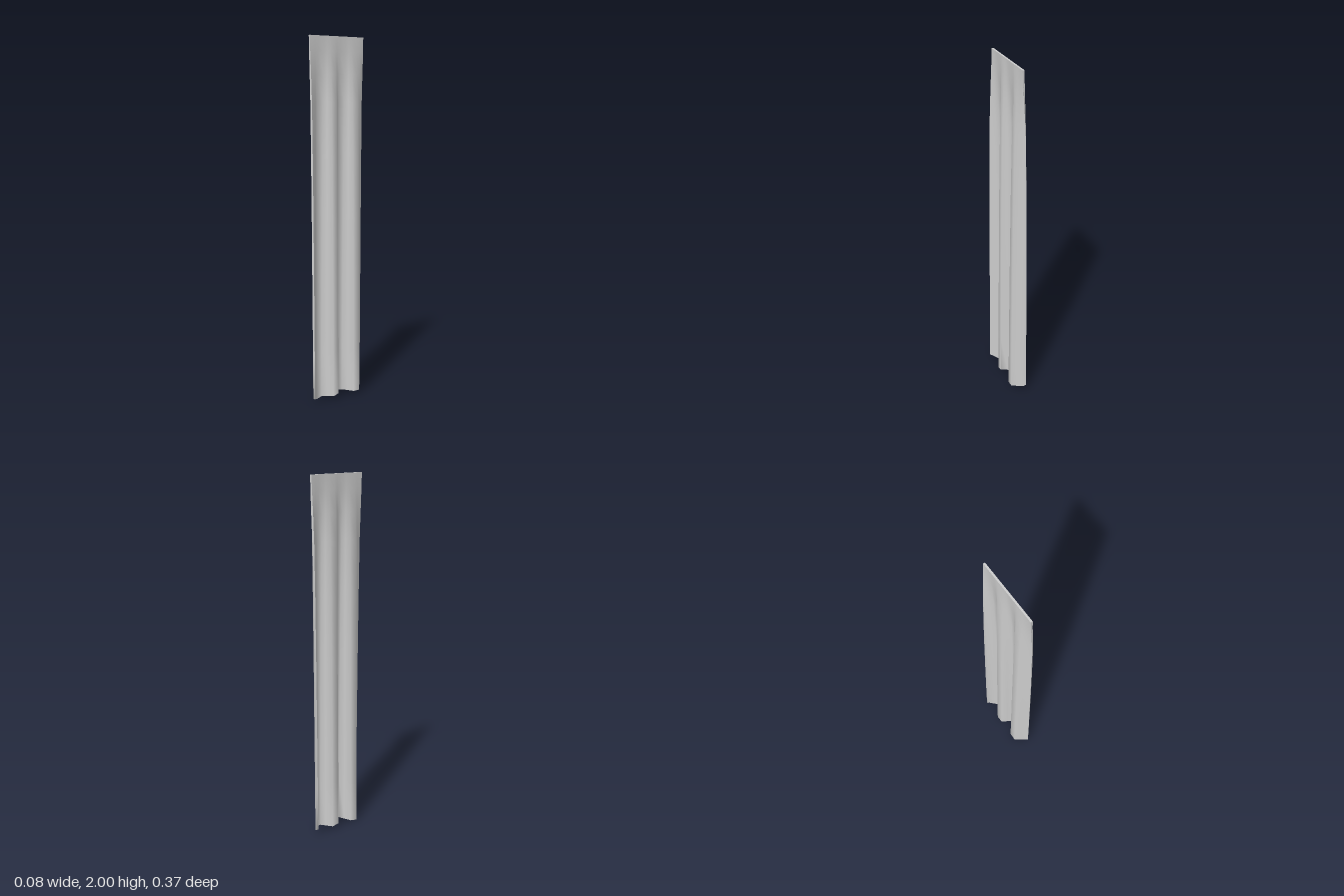
import * as THREE from 'three';
import { toCreasedNormals } from 'three/addons/utils/BufferGeometryUtils.js';

const HALF = 0.005; // half the cloth thickness

// Pleat line at the hem: [z, x, height of the hem]
const HEM = [
  [-0.179, -0.036, 0.04], [-0.174, -0.02, 0.03], [-0.15, 0.004, 0.022], [-0.128, 0.033, 0.02], [-0.097, 0.033, 0.02],
  [-0.08, 0.003, 0.02], [-0.059, -0.03, 0.02], [-0.02, -0.03, 0.025], [0, 0, 0.03],
  [0.018, 0.033, 0.03], [0.046, 0.033, 0.02], [0.065, 0.003, 0.015], [0.084, -0.03, 0.01],
  [0.124, -0.03, 0], [0.145, -0.003, 0.012], [0.179, 0.034, 0.03],
];

// Depth of the pleats by height: [height, share of hem depth]
const LEVELS = [[0, 1], [0.25, 0.95], [0.6, 0.86], [1, 0.75], [1.35, 0.62], [1.65, 0.46], [1.8, 0.26], [1.92, 0.08], [2, 0]];

// Closed outline of the cloth at one height
function section([h, depth]) {
  const line = HEM.map(([z, x, lift]) =>
    new THREE.Vector2(0.001 + x * depth, THREE.MathUtils.lerp(z * 0.99, z, depth)));
  const dir = (a, b) => line[b].clone().sub(line[a]).normalize();
  const front = [], back = [];
  line.forEach((p, i) => {
    const last = line.length - 1;
    const a = dir(Math.max(i - 1, 0), Math.max(i, 1));
    const b = dir(Math.min(i, last - 1), Math.min(i + 1, last));
    const t = a.clone().add(b).normalize();
    const s = HALF / Math.max(0.7, t.dot(a));
    const y = h + HEM[i][2] * Math.max(0, 1 - h / 1.5);
    front.push([p.x + t.y * s, y, p.y - t.x * s]);
    back.unshift([p.x - t.y * s, y, p.y + t.x * s]);
  });
  return [...front, ...back];
}

function curtainGeometry() {
  const rows = LEVELS.map(section);
  const n = rows[0].length, half = n / 2, index = [];
  const quad = (a, b, c, d) => index.push(a, b, c, a, c, d);
  // both faces and the side edges
  for (let r = 0; r < rows.length - 1; r++) {
    for (let i = 0; i < n; i++) {
      const j = (i + 1) % n;
      quad(r * n + i, (r + 1) * n + i, (r + 1) * n + j, r * n + j);
    }
  }
  // hem and top edge
  const top = (rows.length - 1) * n;
  for (let i = 0; i < half - 1; i++) {
    const k = n - 1 - i;
    quad(i, i + 1, k - 1, k);
    quad(top + i, top + k, top + k - 1, top + i + 1);
  }
  const geometry = new THREE.BufferGeometry();
  geometry.setAttribute('position', new THREE.Float32BufferAttribute(rows.flat(2), 3));
  geometry.setIndex(index);
  return toCreasedNormals(geometry, 1.25);
}

export function createModel() {
  const group = new THREE.Group();
  group.name = 'curtain';
  const cloth = new THREE.Mesh(curtainGeometry(),
    new THREE.MeshStandardMaterial({ color: 0xcccccc, side: THREE.DoubleSide }));
  cloth.name = 'pleatedCloth';
  group.add(cloth);
  return group;
}
